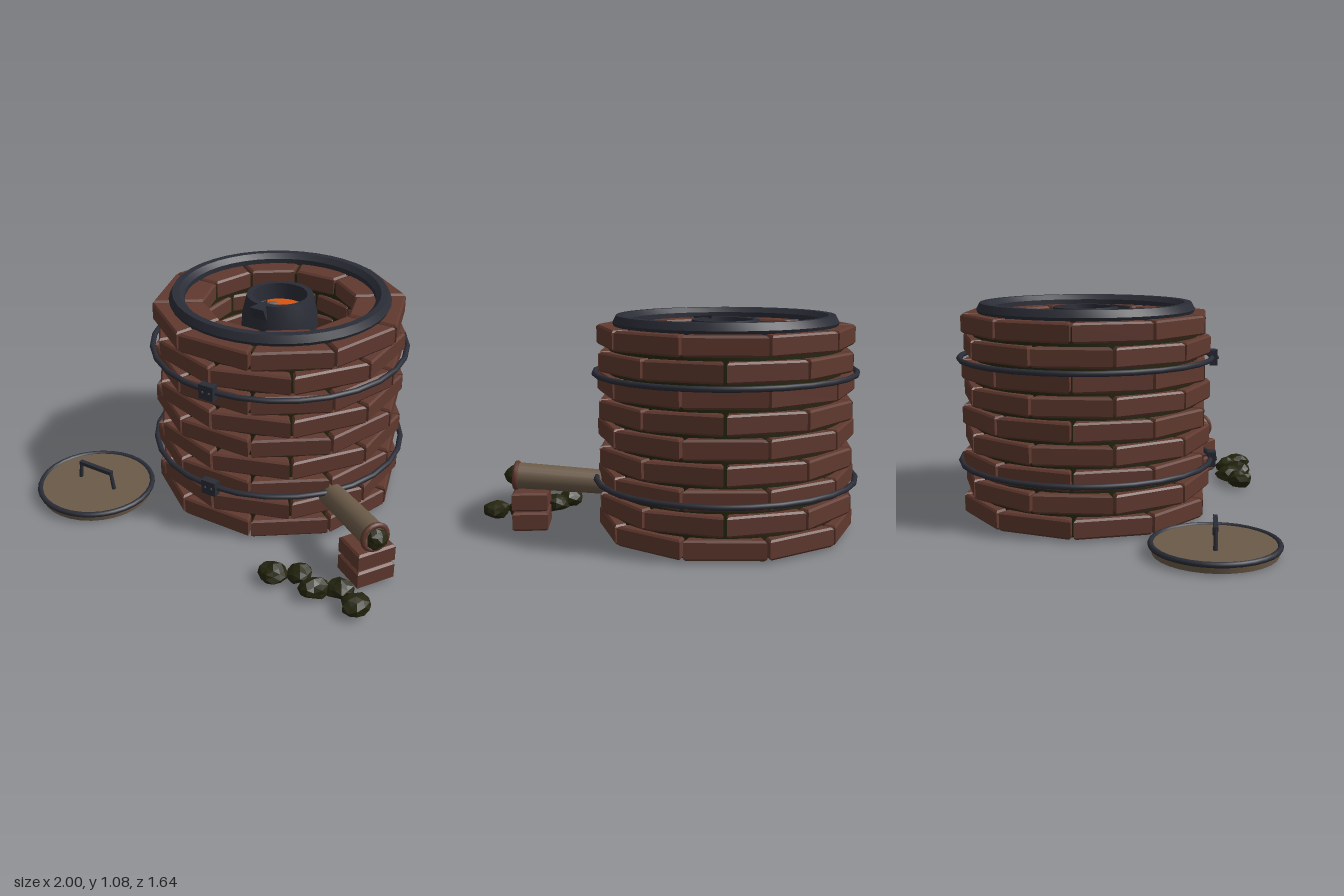
import * as THREE from 'three';
import { toCreasedNormals } from 'three/addons/utils/BufferGeometryUtils.js';

const mat = (name, color) => {
  const m = new THREE.MeshStandardMaterial({ color });
  m.name = name;
  return m;
};

export function createModel() {
  const brick = mat('red brick', 0x60392f);
  const mortar = mat('dark mortar', 0x25250f);
  const iron = mat('dark iron', 0x2b2d37);
  const clay = mat('brown clay', 0x6b5a48);
  const glow = mat('glowing orange', 0xdc5410);
  const slag = mat('grey slag', 0x6c6459);

  const root = new THREE.Group();
  root.name = 'brickFurnace';
  const furnace = new THREE.Group();
  furnace.name = 'furnace';
  furnace.position.set(0.04, 0, -0.16);
  root.add(furnace);

  const add = (parent, name, geo, material, x = 0, y = 0, z = 0) => {
    const m = new THREE.Mesh(geo, material);
    m.name = name;
    m.position.set(x, y, z);
    parent.add(m);
    return m;
  };
  const lathe = (pts, seg = 32) =>
    toCreasedNormals(new THREE.LatheGeometry(pts.map(p => new THREE.Vector2(...p)), seg), 0.6);

  let seed = 7;
  const rand = () => (seed = (seed * 16807) % 2147483647) / 2147483647;

  // Rough lump: an icosahedron whose shared corners are pushed in or out
  const lump = (r, squash = 0.7) => {
    const g = new THREE.IcosahedronGeometry(r, 1);
    const p = g.attributes.position, v = new THREE.Vector3(), seen = {};
    for (let i = 0; i < p.count; i++) {
      v.fromBufferAttribute(p, i);
      const key = v.toArray().map(n => Math.round(n * 1e4)).join();
      seen[key] ??= 0.8 + 0.35 * rand();
      v.multiplyScalar(seen[key]);
      p.setXYZ(i, v.x, v.y * squash, v.z);
    }
    g.computeVertexNormals();
    return g;
  };

  // Mortar core and hearth floor
  add(furnace, 'mortarCore', lathe([[0.39, 0.005], [0.578, 0.005], [0.578, 1.005], [0.39, 1.005], [0.39, 0.005]]), mortar);
  add(furnace, 'hearthFloor', new THREE.CylinderGeometry(0.395, 0.395, 0.29, 32), mortar, 0, 0.15, 0);

  // Nine staggered courses of ten wedge bricks
  const N = 10, half = Math.PI / N, R = 0.642, r = 0.385, gap = 0.008, bevel = 0.01, bh = 0.096;
  const s = Math.sin(half), c = Math.cos(half);
  const wedge = new THREE.Shape([
    [-(R * s - gap), -R * c], [R * s - gap, -R * c], [r * s - gap, -r * c], [-(r * s - gap), -r * c],
  ].map(p => new THREE.Vector2(...p)));
  const brickGeo = new THREE.ExtrudeGeometry(wedge, {
    depth: bh - 2 * bevel, bevelThickness: bevel, bevelSize: bevel, bevelOffset: -bevel, bevelSegments: 1,
  });
  brickGeo.translate(0, 0, bevel).rotateX(-Math.PI / 2);
  for (let row = 0; row < 9; row++) {
    const course = new THREE.Group();
    course.name = 'brickCourse';
    course.position.y = 0.01 + row * 0.1155;
    furnace.add(course);
    for (let i = 0; i < N; i++) {
      add(course, 'brick', brickGeo, brick).rotation.y = (i + (row % 2) / 2) * 2 * half;
    }
  }

  // Iron rim on the top course
  add(furnace, 'topRim', lathe([
    [0.48, 1.025], [0.55, 1.025], [0.558, 1.045], [0.54, 1.08], [0.505, 1.08], [0.48, 1.055], [0.48, 1.025],
  ], 40), iron);

  // Two iron hoops with riveted clasps
  for (const y of [0.27, 0.8]) {
    add(furnace, 'hoop', new THREE.TorusGeometry(0.65, 0.014, 8, 28).rotateX(Math.PI / 2), iron, 0, y, 0);
    add(furnace, 'clasp', new THREE.BoxGeometry(0.08, 0.075, 0.04), iron, 0, y, 0.655);
    for (const x of [-0.018, 0.018]) {
      add(furnace, 'rivet', new THREE.SphereGeometry(0.008, 8, 6), iron, x, y, 0.675);
    }
  }

  // Crucible with molten metal, floating slag and pouring lip
  add(furnace, 'crucible', lathe([
    [0, 0.29], [0.13, 0.29], [0.175, 0.6], [0.195, 0.88], [0.19, 0.96], [0.168, 1.055],
    [0.138, 1.055], [0.136, 0.95], [0, 0.94],
  ], 24), iron);
  add(furnace, 'moltenMetal', new THREE.CylinderGeometry(0.136, 0.136, 0.02, 24), glow, 0, 0.96, 0);
  for (const [x, z] of [[-0.06, -0.03], [0.03, -0.03], [0.025, 0.09]]) {
    add(furnace, 'slagPiece', lump(0.031, 0.5), slag, x, 0.97, z);
  }
  const lip = add(furnace, 'pouringLip', new THREE.ConeGeometry(0.055, 0.1, 4, 1).toNonIndexed(), iron, 0, 1.045, 0.165);
  lip.geometry.rotateY(Math.PI / 4);
  lip.geometry.computeVertexNormals();
  lip.rotation.x = -1.1;

  // Burning and spent coals round the crucible
  const hotCoals = [[-0.26, -0.19, 0.055], [-0.1, -0.28, 0.085], [0.06, -0.26, 0.075], [0.22, -0.15, 0.08], [-0.27, 0.04, 0.065]];
  const deadCoals = [[-0.24, -0.04, 0.065], [0.02, -0.22, 0.055], [0.28, 0.14, 0.06], [-0.1, 0.29, 0.07]];
  for (const [list, m, name] of [[hotCoals, glow, 'hotCoal'], [deadCoals, mortar, 'deadCoal']]) {
    for (const [x, z, size] of list) add(furnace, name, lump(size), m, x, 0.33, z);
  }

  // Clay blast pipe resting on two bricks
  const start = new THREE.Vector3(0.46, 0.225, 0.13), end = new THREE.Vector3(0.915, 0.27, 0.445);
  const dir = end.clone().sub(start), len = dir.length();
  const pipe = new THREE.Group();
  pipe.name = 'blastPipe';
  pipe.position.copy(start);
  pipe.quaternion.setFromUnitVectors(new THREE.Vector3(0, 1, 0), dir.normalize());
  root.add(pipe);
  add(pipe, 'pipeTube', new THREE.CylinderGeometry(0.066, 0.06, len, 20), clay, 0, len / 2, 0);
  add(pipe, 'pipeCollar', new THREE.TorusGeometry(0.062, 0.014, 8, 20).rotateX(Math.PI / 2), brick, 0, len - 0.01, 0);
  add(pipe, 'pipePlug', lump(0.056, 0.8), mortar, 0, len + 0.005, 0);

  const blockShape = new THREE.Shape([[-0.088, -0.1], [0.088, -0.1], [0.088, 0.1], [-0.088, 0.1]].map(p => new THREE.Vector2(...p)));
  const blockGeo = new THREE.ExtrudeGeometry(blockShape, {
    depth: 0.074, bevelThickness: 0.01, bevelSize: 0.01, bevelOffset: -0.01, bevelSegments: 1,
  }).translate(0, 0, 0.01).rotateX(-Math.PI / 2);
  for (const y of [0.005, 0.105]) {
    add(root, 'supportBrick', blockGeo, brick, 0.85, y, 0.395).rotation.y = -0.55;
  }

  // Loose coal on the ground
  for (let i = 0; i < 5; i++) {
    add(root, 'looseCoal', lump(0.067, 0.7), mortar, 0.5 + i * 0.108, 0.045, i % 2 ? 0.6 : 0.66);
  }

  // Lid lying beside the furnace
  const lid = new THREE.Group();
  lid.name = 'lid';
  lid.position.set(-0.69, 0, 0.505);
  root.add(lid);
  add(lid, 'lidPlate', new THREE.CylinderGeometry(0.297, 0.29, 0.045, 32), clay, 0, 0.0235, 0);
  add(lid, 'lidRim', new THREE.TorusGeometry(0.295, 0.014, 8, 32).rotateX(Math.PI / 2), iron, 0, 0.042, 0);
  add(lid, 'handleBar', new THREE.BoxGeometry(0.21, 0.02, 0.022), iron, 0.005, 0.138, 0);
  for (const side of [-1, 1]) {
    const post = add(lid, 'handlePost', new THREE.CylinderGeometry(0.009, 0.011, 0.1, 8), iron, 0.005 + side * 0.105, 0.093, 0);
    post.rotation.z = side * 0.15;
  }
  return root;
}
